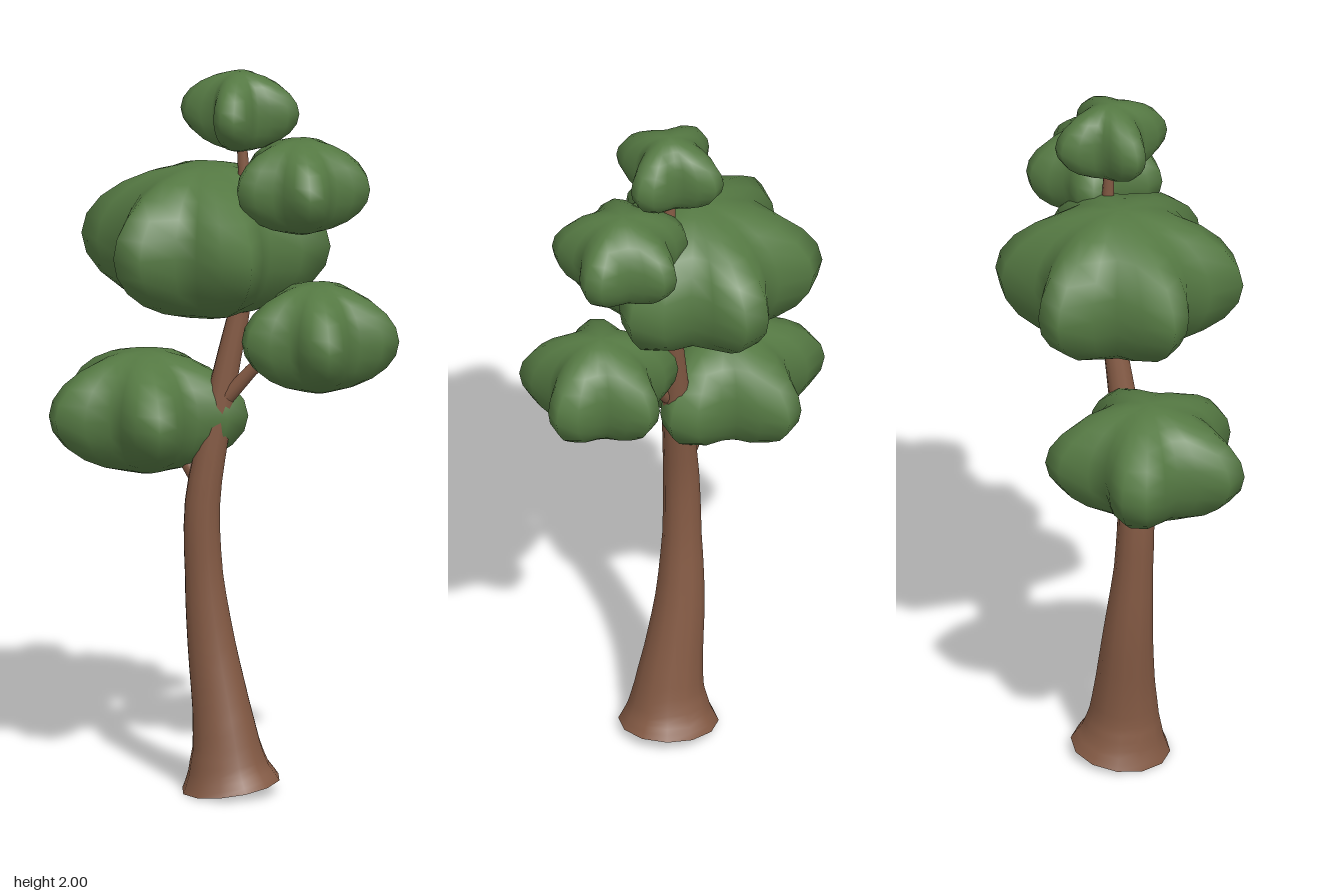
import * as THREE from 'three';
import { mergeVertices } from 'three/addons/utils/BufferGeometryUtils.js';

const SIDES = 12;

// Tapered round limb through stations [x, y, z, radius], with capped ends
function limbGeometry(stations, steps) {
  const path = new THREE.CatmullRomCurve3(stations.map(([x, y, z]) => new THREE.Vector3(x, y, z)));
  const positions = [];
  const indices = [];
  const addRing = (t) => {
    const p = path.getPoint(t);
    const d = path.getTangent(t);
    const f = t * (stations.length - 1);
    const k = Math.min(Math.floor(f), stations.length - 2);
    const r = THREE.MathUtils.lerp(stations[k][3], stations[k + 1][3], f - k);
    // Two axes square to the path
    const u = new THREE.Vector3(d.y, -d.x, 0).normalize();
    const v = new THREE.Vector3().crossVectors(u, d).normalize();
    const first = positions.length / 3;
    for (let j = 0; j < SIDES; j++) {
      const a = (j / SIDES) * Math.PI * 2;
      const q = p.clone().addScaledVector(u, r * Math.cos(a)).addScaledVector(v, r * Math.sin(a));
      positions.push(q.x, q.y, q.z);
    }
    return first;
  };
  for (let i = 0; i <= steps; i++) addRing(i / steps);
  for (let i = 0; i < steps; i++) {
    for (let j = 0; j < SIDES; j++) {
      const a = i * SIDES + j;
      const b = i * SIDES + ((j + 1) % SIDES);
      indices.push(a, a + SIDES, b, b, a + SIDES, b + SIDES);
    }
  }
  // End caps have their own corners so the rims stay sharp
  const bottom = addRing(0);
  const top = addRing(1);
  for (let j = 1; j < SIDES - 1; j++) {
    indices.push(bottom, bottom + j, bottom + j + 1);
    indices.push(top, top + j + 1, top + j);
  }
  const g = new THREE.BufferGeometry();
  g.setAttribute('position', new THREE.Float32BufferAttribute(positions, 3));
  g.setIndex(indices);
  g.computeVertexNormals();
  return g;
}

// Flattened ball whose outline swells into evenly spaced lobes
function clumpGeometry({ tip, valley, height, lobes, phase = 0 }) {
  let g = new THREE.SphereGeometry(1, 26, 12);
  g.deleteAttribute('uv');
  g.deleteAttribute('normal');
  g = mergeVertices(g, 1e-4);
  const pos = g.attributes.position;
  const mean = (tip + valley) / 2;
  const swell = (tip - valley) / 2;
  for (let i = 0; i < pos.count; i++) {
    const x = pos.getX(i);
    const z = pos.getZ(i);
    const s = Math.hypot(x, z);
    const wave = Math.cos(lobes * (Math.atan2(z, x) - phase));
    const r = mean + swell * s * wave;
    pos.setXYZ(i, x * r, pos.getY(i) * height / 2, z * r);
  }
  g.computeVertexNormals();
  return g;
}

export function createModel() {
  const tree = new THREE.Group();
  tree.name = 'tree';
  const bark = new THREE.MeshStandardMaterial({ color: 0x845a44 });
  bark.name = 'bark brown';
  const leaf = new THREE.MeshStandardMaterial({ color: 0x557943 });
  leaf.name = 'leaf green';

  const add = (name, geometry, material, at = [0, 0, 0]) => {
    const mesh = new THREE.Mesh(geometry, material);
    mesh.name = name;
    mesh.position.set(...at);
    tree.add(mesh);
  };

  // Leaning trunk with a flared foot
  add('trunk', limbGeometry([
    [-0.006, 0.018, 0.022, 0.136],
    [-0.012, 0.065, 0.025, 0.112],
    [-0.018, 0.13, 0.027, 0.094],
    [-0.034, 0.24, 0.023, 0.08],
    [-0.06, 0.4, 0.019, 0.067],
    [-0.08, 0.6, 0.025, 0.053],
    [-0.083, 0.8, 0.03, 0.049],
    [-0.052, 1.0, 0.022, 0.042],
    [-0.015, 1.2, 0.01, 0.034],
    [0.018, 1.37, 0, 0.028],
    [0.03, 1.6, 0, 0.02],
    [0.015, 1.86, 0, 0.012],
  ], 33), bark);

  // Branches reaching into the side clumps
  add('lowerBranch', limbGeometry([[-0.09, 0.85, 0.02, 0.024], [-0.14, 0.92, 0.01, 0.02], [-0.25, 1.04, -0.01, 0.013]], 6), bark);
  add('middleBranch', limbGeometry([[-0.012, 1.1, 0.03, 0.021], [0.09, 1.21, 0.04, 0.016], [0.25, 1.3, 0.07, 0.011]], 6), bark);
  add('upperBranch', limbGeometry([[0.02, 1.45, 0, 0.02], [0.1, 1.6, 0.02, 0.015], [0.2, 1.7, 0.045, 0.01]], 6), bark);

  // Foliage clumps from the lowest to the crown
  add('lowerFoliage', clumpGeometry({ tip: 0.285, valley: 0.175, height: 0.335, lobes: 5 }), leaf, [-0.25, 1.038, -0.01]);
  add('middleFoliage', clumpGeometry({ tip: 0.225, valley: 0.14, height: 0.3, lobes: 5 }), leaf, [0.25, 1.29, 0.08]);
  add('mainFoliage', clumpGeometry({ tip: 0.346, valley: 0.23, height: 0.42, lobes: 6 }), leaf, [-0.085, 1.52, -0.02]);
  add('upperFoliage', clumpGeometry({ tip: 0.195, valley: 0.13, height: 0.26, lobes: 5, phase: -0.07 }), leaf, [0.193, 1.7, 0.045]);
  add('crownFoliage', clumpGeometry({ tip: 0.165, valley: 0.085, height: 0.22, lobes: 4 }), leaf, [0.015, 1.89, 0.004]);

  return tree;
}
